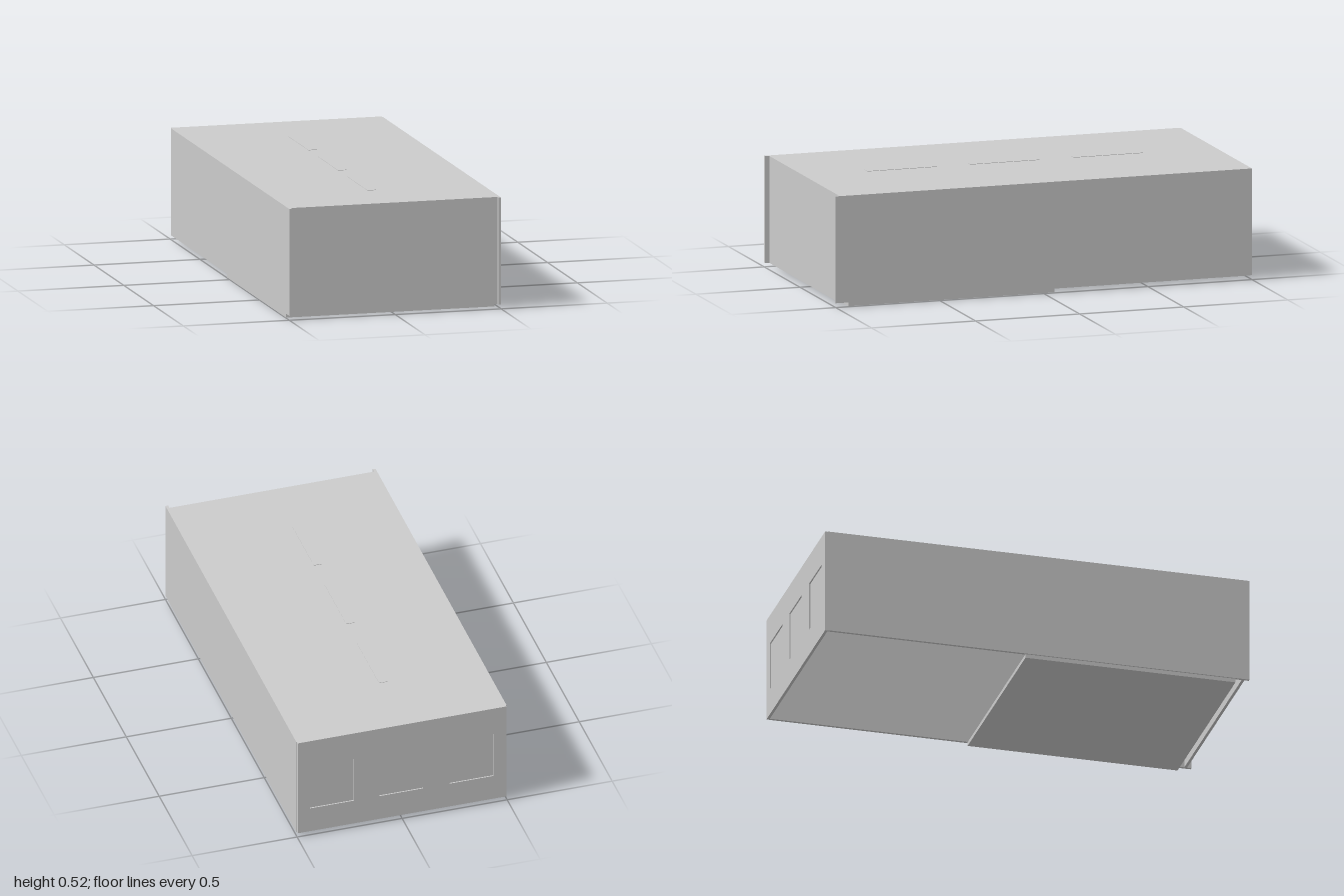
import * as THREE from 'three';

const material = new THREE.MeshStandardMaterial({ color: 0xcccccc, flatShading: true });

// Box given by its minimum and maximum on each axis
function panel(name, [x0, x1], [y0, y1], [z0, z1]) {
  const mesh = new THREE.Mesh(new THREE.BoxGeometry(x1 - x0, y1 - y0, z1 - z0), material);
  mesh.name = name;
  mesh.position.set((x0 + x1) / 2, (y0 + y1) / 2, (z0 + z1) / 2);
  return mesh;
}

function rectangle(target, x0, x1, y0, y1) {
  target.moveTo(x0, y0);
  target.lineTo(x1, y0);
  target.lineTo(x1, y1);
  target.lineTo(x0, y1);
  target.closePath();
  return target;
}

export function createModel() {
  const model = new THREE.Group();
  model.name = 'openBox';
  const top = 0.515, bottom = 0.02, wall = 0.013, inner = 0.5 - wall;

  // Side walls, running past the front panel
  for (const side of [1, -1]) {
    const xs = side > 0 ? [inner, 0.5] : [-0.5, -inner];
    model.add(panel(side > 0 ? 'leftWall' : 'rightWall', xs, [bottom, top], [-0.987, 1]));
  }

  // Top and recessed front
  model.add(panel('topPanel', [-inner, inner], [top - wall, top], [-0.987, 0.967]));
  model.add(panel('frontPanel', [-inner, inner], [bottom, top], [0.967, 0.98]));

  // Back: solid inner sheet, outer sheet with three windows making shallow recesses
  const back = new THREE.Group();
  back.name = 'backPanel';
  const sheet = rectangle(new THREE.Shape(), -0.497, 0.497, bottom, top);
  for (const x of [-0.33, 0.005, 0.335]) {
    sheet.holes.push(rectangle(new THREE.Path(), x - 0.105, x + 0.105, 0.145, 0.375));
  }
  const outer = new THREE.Mesh(
    new THREE.ExtrudeGeometry(sheet, { depth: 0.006, bevelEnabled: false }), material);
  outer.name = 'backOuterSheet';
  outer.position.z = -1;
  back.add(outer, panel('backInnerSheet', [-0.497, 0.497], [bottom, top], [-0.994, -0.987]));
  model.add(back);

  // Three thin strips along the top
  for (const z of [-0.482, 0.015, 0.508]) {
    model.add(panel('topStrip', [-0.04, 0], [top - 0.006, top + 0.002], [z - 0.167, z + 0.167]));
  }

  // Sliding plate covering the front half of the open bottom
  model.add(panel('bottomPlate', [-0.497, inner], [0, 0.018], [-0.055, 0.935]));

  return model;
}
